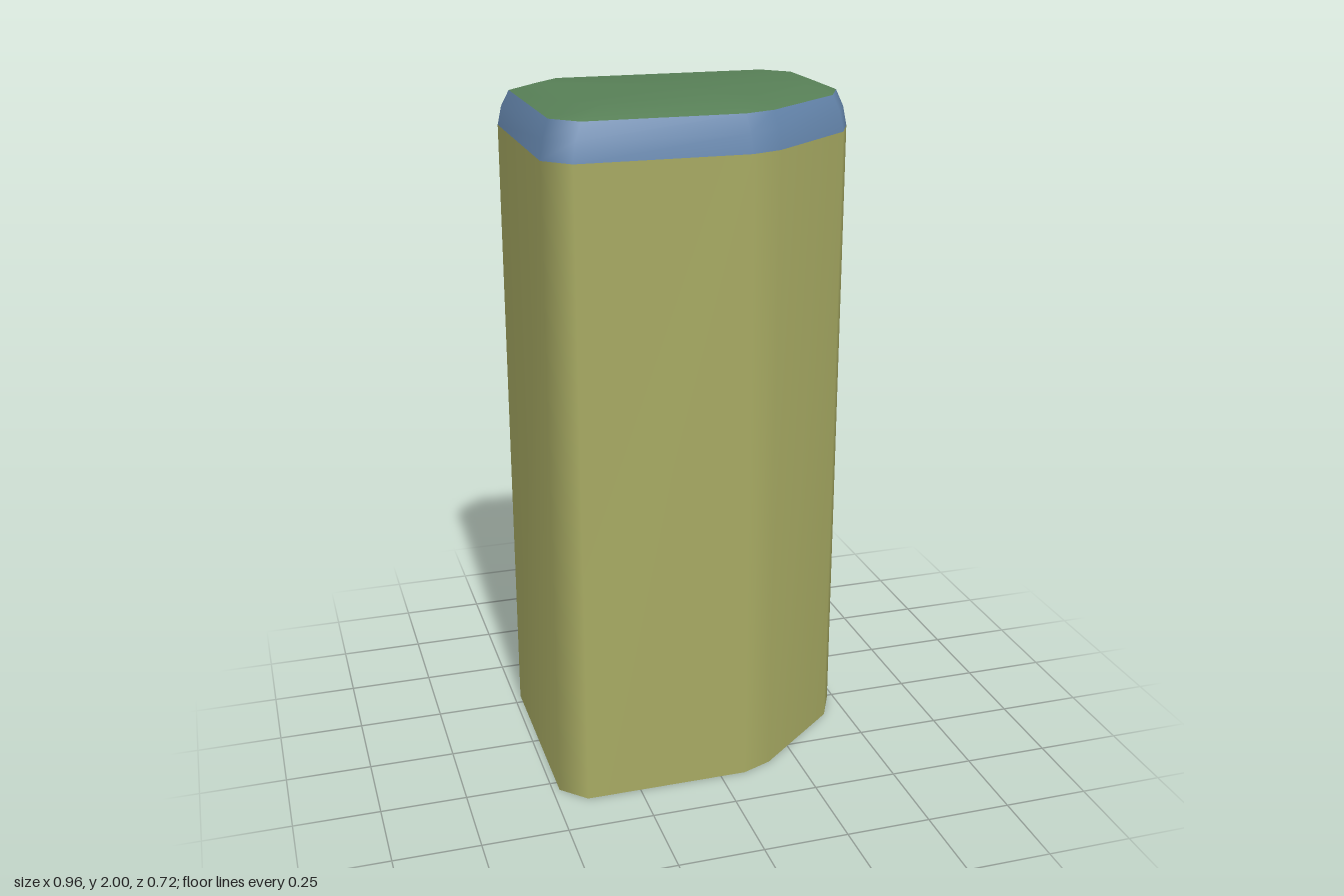
import * as THREE from 'three';

// Outline corners, counter-clockwise from above, starting and ending at the open back:
// [x, z, inward x, inward z] per unit of inset
const OUTLINE = [
  [-0.41, -0.36, 1, 1],
  [-0.48, -0.29, 1, 1],
  [-0.48, 0.29, 1, -1],
  [-0.41, 0.36, 1, -1],
  [0.075, 0.36, -0.35, -1],
  [0.165, 0.325, -0.35, -1],
  [0.43, 0.11, -1, -0.45],
  [0.48, 0.01, -1, -0.45],
  [0.48, -0.29, -1, 1],
  [0.41, -0.36, -1, 1],
];

// Smooth shell lofted through rings of [inset, height]
function shell(name, color, rings, { closed = true, capped = false } = {}) {
  const n = OUTLINE.length;
  const positions = [];
  const index = [];
  for (const [d, y] of rings) {
    for (const [x, z, dx, dz] of OUTLINE) positions.push(x + dx * d, y, z + dz * d);
  }
  const sides = closed ? n : n - 1;
  for (let r = 0; r < rings.length - 1; r++) {
    for (let i = 0; i < sides; i++) {
      const j = (i + 1) % n;
      const a = r * n + i, b = r * n + j;
      index.push(a, b, b + n, a, b + n, a + n);
    }
  }
  if (capped) {
    const top = (rings.length - 1) * n;
    const centre = positions.length / 3;
    positions.push(0, rings[rings.length - 1][1], 0);
    for (let i = 0; i < n; i++) index.push(top + i, top + ((i + 1) % n), centre);
  }
  const geometry = new THREE.BufferGeometry();
  geometry.setAttribute('position', new THREE.Float32BufferAttribute(positions, 3));
  geometry.setIndex(index);
  geometry.computeVertexNormals();
  const mesh = new THREE.Mesh(
    geometry,
    new THREE.MeshStandardMaterial({ color, side: THREE.DoubleSide })
  );
  mesh.name = name;
  return mesh;
}

export function createModel() {
  const model = new THREE.Group();
  model.name = 'cabinetShell';
  model.add(
    // Thin walls, open across the back
    shell('walls', 0xa6a962, [[0, 0], [0, 1.87]], { closed: false }),
    // Rounded shoulder running all the way round
    shell('shoulderBand', 0x6586ad, [[0, 1.87], [0.01, 1.925], [0.03, 1.972]]),
    // Slightly raised lid
    shell('lid', 0x577f56, [[0.03, 1.972], [0.1, 2]], { capped: true })
  );
  return model;
}
